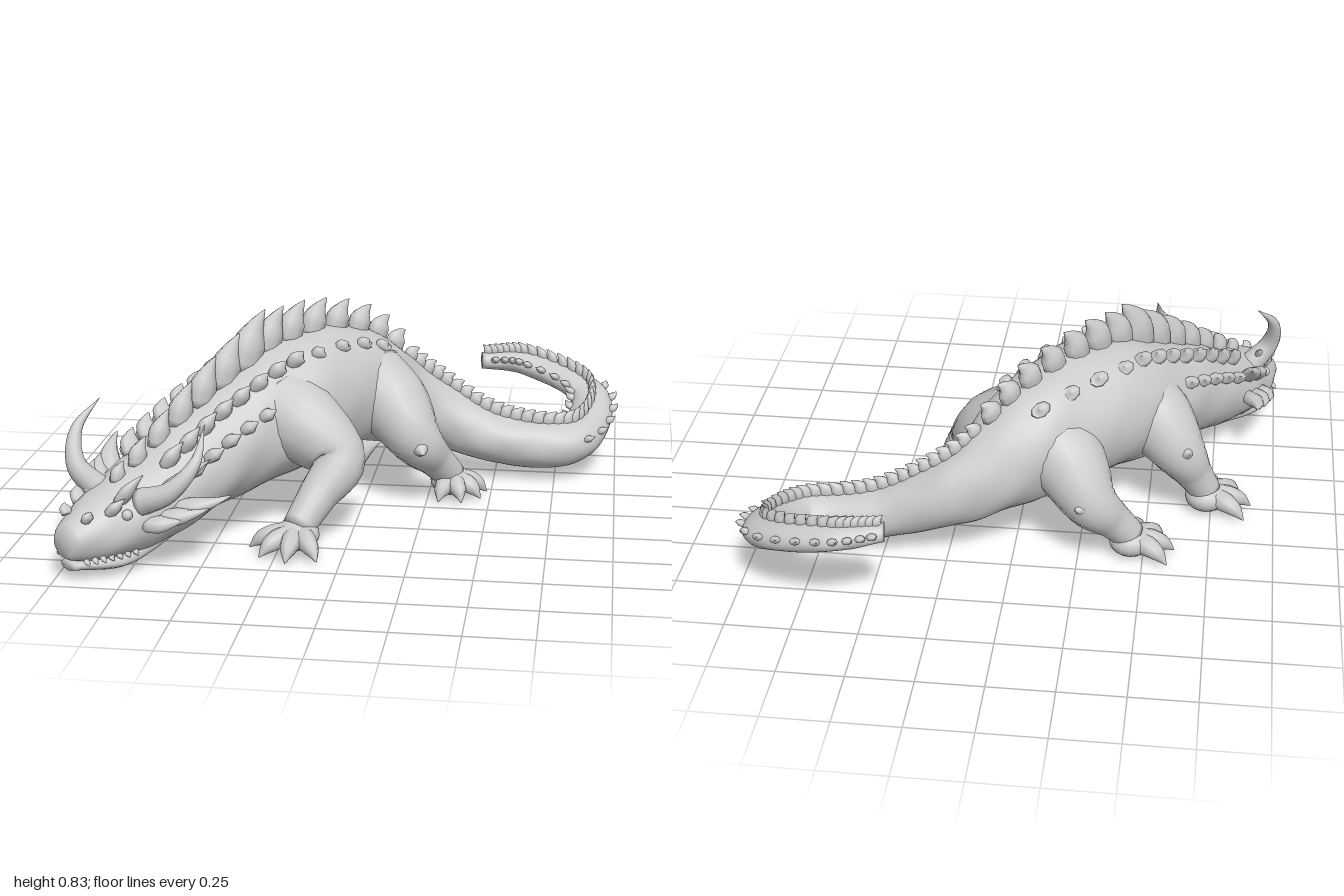
import * as THREE from 'three';

const MAT = new THREE.MeshStandardMaterial({ color: 0xcccccc });
const V = (x, y, z) => new THREE.Vector3(x, y, z);
const UP = V(0, 1, 0);

// Smooth path through points { c, a, b }: centre, half width, half height
function makePath(pts) {
  const centre = new THREE.CatmullRomCurve3(pts.map(p => p.c));
  const size = new THREE.CatmullRomCurve3(pts.map(p => V(p.a, p.b, 0)));
  return (t, upright, ref) => {
    const tan = centre.getTangent(t);
    const s = ref.clone().cross(tan).normalize();
    const u = upright ? ref.clone() : tan.clone().cross(s);
    const r = size.getPoint(t);
    return { c: centre.getPoint(t), s, u, tan, a: Math.max(r.x, 0.001), b: Math.max(r.y, 0.001) };
  };
}
const knot = (c, a, b = a) => ({ c, a, b });

// Closed skin of elliptical rings along a path
function sweep(name, pts, { segs = 12, sides = 12, ref = UP, upright = false, bump = () => 1 } = {}) {
  const path = makePath(pts), pos = [], idx = [];
  for (let i = 0; i <= segs; i++) {
    const f = path(i / segs, upright, ref);
    for (let j = 0; j < sides; j++) {
      const g = j / sides * Math.PI * 2, k = bump(i / segs, g);
      const p = f.c.clone().addScaledVector(f.s, f.a * k * Math.cos(g)).addScaledVector(f.u, f.b * k * Math.sin(g));
      pos.push(p.x, p.y, p.z);
      const a = i * sides + j, b = i * sides + (j + 1) % sides;
      if (i < segs) idx.push(a, b, a + sides, b, b + sides, a + sides);
    }
  }
  const n = (segs + 1) * sides, e = segs * sides;
  for (const t of [0, 1]) pos.push(...path(t, upright, ref).c.toArray());
  for (let j = 0; j < sides; j++) {
    const k = (j + 1) % sides;
    idx.push(n, k, j, n + 1, e + j, e + k);
  }
  const geo = new THREE.BufferGeometry();
  geo.setAttribute('position', new THREE.Float32BufferAttribute(pos, 3));
  geo.setIndex(idx);
  geo.computeVertexNormals();
  const mesh = new THREE.Mesh(geo, MAT);
  mesh.name = name;
  return mesh;
}

// Horn tapering to a point through the given centres
function horn(name, centres, r, ref = UP) {
  const last = centres.length - 1;
  return sweep(name, centres.map((c, i) => knot(c, r * Math.pow(1 - i / last, 0.75))), { segs: 18, ref });
}

// Snout to tail tip: x, z, top, bottom, half width
const BODY = [
  [-.955, .955, .24, .07, .09], [-.77, .69, .37, .05, .18], [-.55, .37, .56, .13, .22],
  [-.3, .05, .71, .18, .265], [-.02, -.27, .67, .19, .21], [.22, -.42, .46, .15, .13],
  [.52, -.43, .28, .07, .105], [.82, -.48, .25, .07, .1], [.88, -.76, .34, .21, .085],
  [.6, -.91, .42, .32, .07], [.41, -.88, .42, .35, .04],
].map(([x, z, top, bot, w]) => knot(V(x, (top + bot) / 2, z), w, (top - bot) / 2));
const bodyPath = makePath(BODY);

// Point and outward direction on the skin, at a section number and an angle around it
function onBody(section, angle) {
  const f = bodyPath(section / (BODY.length - 1), true, UP);
  const cx = Math.cos(angle), sy = Math.sin(angle);
  const p = f.c.clone().addScaledVector(f.s, f.a * cx).addScaledVector(f.u, f.b * sy);
  const n = f.s.clone().multiplyScalar(cx / f.a).addScaledVector(f.u, sy / f.b).normalize();
  return { p, n, tan: f.tan };
}

// Leaf-shaped spike growing out of the skin and leaning back
function spike(name, section, angle, h, r, lean = 0.75) {
  const { p, n, tan } = onBody(section, angle);
  const at = (out, back, w) => knot(p.clone().addScaledVector(n, out).addScaledVector(tan, back), w * 0.7, w);
  return sweep(name, [at(-r * .5, 0, r * .9), at(h * .3, h * lean * .2, r), at(h * .7, h * lean * .55, r * .55), at(h, h * lean, .002)],
    { segs: 8, sides: 8, ref: tan });
}

// Foot: a pad with four knuckled toes fanned about a heading, each ending in a claw
function foot(x, z, heading, reach) {
  const g = new THREE.Group();
  g.name = 'foot';
  const pad = new THREE.Mesh(new THREE.SphereGeometry(1, 16, 12), MAT);
  pad.name = 'pad';
  pad.scale.set(.085, .06, .085);
  pad.position.set(x, .07, z);
  g.add(pad);
  for (let i = 0; i < 4; i++) {
    const angle = heading + (i - 1.5) * 0.66;
    const at = (k, y, r) => knot(V(x + Math.cos(angle) * reach * k, y, z + Math.sin(angle) * reach * k), r);
    g.add(sweep('toe', [at(.1, .075, .045), at(.5, .07, .04), at(.75, .055, .03), at(1, .02, .002)], { sides: 8 }));
  }
  return g;
}

// Leg: muscular limb from the hip or shoulder through the joint, with a spur behind the joint
function leg(name, root, joint, footAt, heading, reach, spurTip) {
  const g = new THREE.Group();
  g.name = name;
  const ankle = V(footAt.x, .09, footAt.y);
  const thigh = root.clone().lerp(joint, .5).add(V(0, .03, 0));
  const shin = joint.clone().lerp(ankle, .5);
  g.add(sweep('limb', [knot(root, .17), knot(thigh, .15), knot(joint, .105), knot(shin, .075), knot(ankle, .06)], { segs: 24, sides: 18 }));
  g.add(horn('jointSpur', [joint.clone().lerp(shin, .5), joint.clone().lerp(spurTip, .45), spurTip], .085));
  g.add(foot(footAt.x, footAt.y, heading, reach));
  return g;
}

export function createModel() {
  const model = new THREE.Group();
  model.name = 'hornedReptile';

  // Trunk, neck, head and curling tail, with a rounded snout and slightly uneven skin
  const skin = (t, g) => (.6 + .4 * Math.min(1, Math.sqrt(t * 25)))
    + .015 * Math.sin(t * 95) * Math.sin(g * 5) + .012 * Math.sin(t * 61 + g * 3);
  model.add(sweep('body', BODY, { segs: 150, sides: 36, upright: true, bump: skin }));

  // Lower jaw
  model.add(sweep('jaw', [knot(V(-.945, .07, .94), .04, .02), knot(V(-.83, .065, .78), .12, .042), knot(V(-.66, .13, .52), .1, .05)],
    { segs: 16, sides: 16, upright: true }));

  // Long curved horns
  model.add(horn('leftHorn', [V(-.7, .28, .82), V(-.59, .33, .85), V(-.5, .43, .82), V(-.48, .55, .72)], .052));
  model.add(horn('rightHorn', [V(-.88, .28, .71), V(-.96, .38, .73), V(-.97, .5, .68), V(-.9, .6, .6)], .052, V(1, 0, 0)));

  for (const side of [1, -1]) {
    const ang = a => side > 0 ? a : Math.PI - a;
    // Brows, nostrils and eyes
    model.add(spike('browHorn', .63, ang(.95), .09, .035));
    model.add(spike('browRidge', .47, ang(.8), .05, .032));
    model.add(spike('nostrilBump', .2, ang(1), .03, .025, .3));
    const eye = new THREE.Mesh(new THREE.SphereGeometry(.02, 12, 8), MAT);
    eye.name = 'eye';
    eye.position.copy(onBody(.6, ang(.5)).p);
    model.add(eye);
    // Cheek frill and teeth
    for (let i = 0; i < 5; i++) model.add(spike('cheekSpike', .83 + i * .09, ang(i % 2 ? .55 : 0), .09 + i * .01, .042, 1.1));
    for (let i = 0; i < 7; i++) model.add(spike('tooth', .13 + i * .1, ang(-.75), .022, .012, .1));
    // Rows of blunt scutes on the neck, back and flanks
    for (let i = 0; i < 8; i++) model.add(spike('upperScute', 1.25 + i * .225, ang(1), .065 - i * .004, .042));
    for (let i = 0; i < 5; i++) model.add(spike('lowerScute', 1.4 + i * .225, ang(.5), .05 - i * .004, .036));
    for (let i = 0; i < 4; i++) model.add(spike('flankScute', 3.1 + i * .3, ang(.95), .022, .04));
    // Knobs along the tail sides
    for (let i = 0; i < 14; i++) model.add(spike('tailKnob', 7 + i * .21, ang(.35), .028, .02));
  }

  // Back plates, tallest over the shoulders
  for (let i = 0; i < 14; i++) {
    const h = i < 7 ? .05 + .018 * i : .135 - .008 * (i - 6);
    model.add(spike('backPlate', .8 + i * .28, Math.PI / 2, h, h * .4 + .013));
  }

  // Small crest down the tail
  for (let i = 0; i < 39; i++)
    model.add(spike('tailSpike', 4.7 + i * .135, Math.PI / 2, .055 - i * .0006, .032 - i * .0003, .9));

  // Legs
  const at = (x, z) => new THREE.Vector2(x, z);
  model.add(leg('frontLeftLeg', V(-.3, .46, .2), V(-.05, .3, .33), at(-.18, .52), 2, .18, V(.1, .35, .21)));
  model.add(leg('frontRightLeg', V(-.42, .44, .08), V(-.62, .28, -.04), at(-.73, -.01), 2.7, .18, V(-.66, .34, -.15)));
  model.add(leg('hindLeftLeg', V(0, .46, -.2), V(.21, .27, -.06), at(.34, -.18), .87, .145, V(.25, .25, .07)));
  model.add(leg('hindRightLeg', V(-.1, .45, -.25), V(-.3, .26, -.41), at(-.45, -.36), 2.7, .17, V(-.25, .29, -.53)));
  return model;
}
